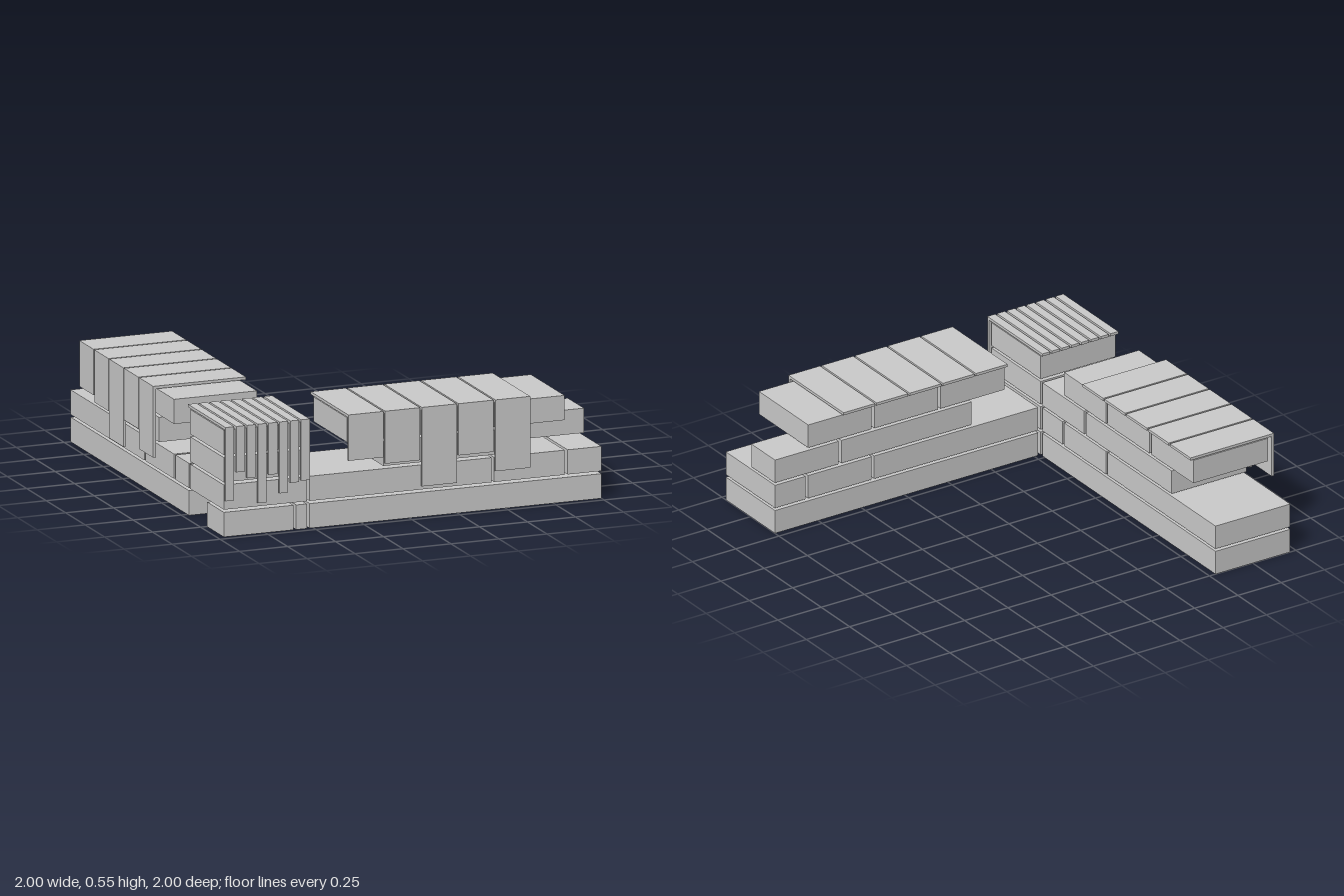
import * as THREE from 'three';

const stone = new THREE.MeshStandardMaterial({ color: 0xcccccc });
stone.name = 'pale grey stone';

const ROW = 0.1365, HEIGHT = 0.123;      // course pitch and brick height
const INNER = 0.535, OUTER = 0.967;      // wall thickness
const MID_IN = 0.743, MID_OUT = 0.753;   // joint between half-depth bricks

// Box given by its limits along each axis
function block(parent, name, x0, x1, y0, y1, z0, z1) {
  const mesh = new THREE.Mesh(new THREE.BoxGeometry(x1 - x0, y1 - y0, z1 - z0), stone);
  mesh.position.set((x0 + x1) / 2, (y0 + y1) / 2, (z0 + z1) / 2);
  mesh.name = name;
  parent.add(mesh);
}

// Brick lying in a numbered course
function brick(parent, row, x0, x1, z0 = INNER, z1 = OUTER) {
  block(parent, 'brick', x0, x1, row * ROW, row * ROW + HEIGHT, z0, z1);
}

// Thin cap that folds over the top and hangs down the outer face
function cap(parent, x0, x1, bottom) {
  block(parent, 'capTop', x0, x1, 0.54, 0.554, 0.515, 0.998);
  block(parent, 'capDrop', x0, x1, bottom, 0.54, 0.984, 0.998);
}

function makeWall(name) {
  const wall = new THREE.Group();
  wall.name = name;
  // Bottom course, then the staggered ones
  brick(wall, 0, -0.52, 1);
  [[-0.52, 0.427], [0.441, 0.808], [0.824, 1]].forEach(([a, b]) => brick(wall, 1, a, b));
  brick(wall, 2, -0.136, 0.616);
  brick(wall, 2, 0.632, 1, INNER, MID_IN);
  brick(wall, 3, -0.325, 0.043);
  brick(wall, 3, 0.058, 0.426, INNER, MID_IN);
  brick(wall, 3, 0.058, 0.426, MID_OUT, OUTER);
  brick(wall, 3, 0.441, 0.808);
  // Row of caps with uneven drops
  [0.325, 0.292, 0.16, 0.296, 0.198].forEach((bottom, i) => {
    const x = -0.331 + i * 0.1915;
    cap(wall, x, x + 0.182, bottom);
  });
  return wall;
}

function makeCornerPost() {
  const post = new THREE.Group();
  post.name = 'cornerPost';
  // Broken bottom course
  brick(post, 0, -0.967, -0.605, MID_OUT, OUTER);
  brick(post, 0, -0.59, -0.535);
  // Full courses above
  for (let row = 1; row < 4; row++) brick(post, row, -0.967, -0.535);
  // Narrow slats over the top
  [0.186, 0.325, 0.29, 0.16, 0.296, 0.198, 0.245, 0.25].forEach((bottom, i) => {
    const x = -0.971 + i * 0.0563;
    cap(post, x, x + 0.045, bottom);
  });
  return post;
}

export function createModel() {
  const model = new THREE.Group();
  model.name = 'cornerWall';
  model.add(makeWall('frontWall'), makeCornerPost());

  // Same wall turned a quarter to run backwards from the corner
  const side = makeWall('sideWall');
  side.rotation.y = -Math.PI / 2;
  side.position.z = -0.48;
  model.add(side);
  return model;
}
